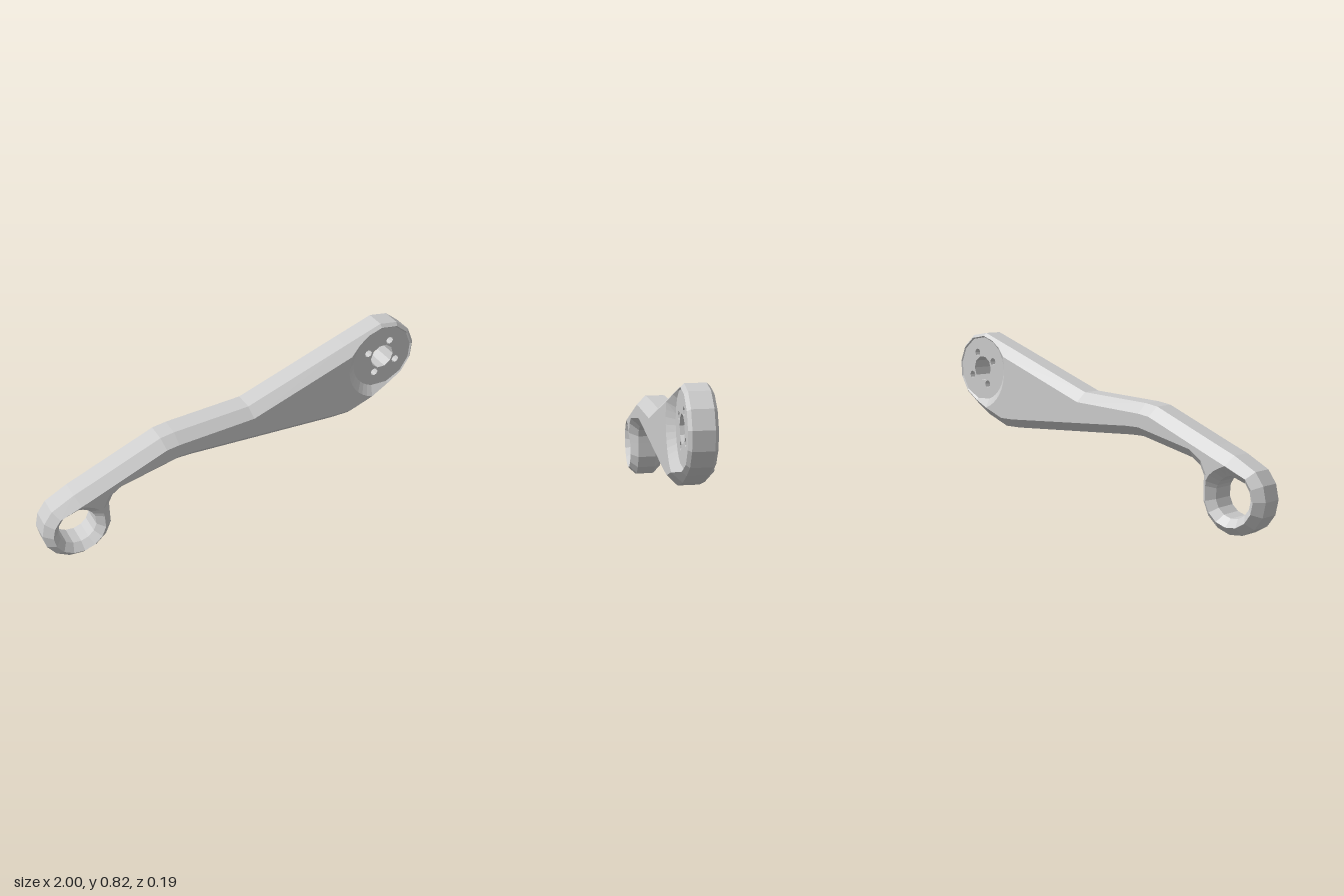
import * as THREE from 'three';

const EDGE = 0.047;            // half height of the outer edge band
const FACE = 0.093;            // half thickness of the arm
const HUB = new THREE.Vector2(0.813, 0.63);
const EYE = new THREE.Vector2(-0.83, 0.17);
const PLATE = { r: 0.165, z: 0.057 };  // hub plate at the bottom of the recess
const BORE = { r: 0.095, z: 0.051 };   // eye bore below its countersink

const polar = (c, r, a) => new THREE.Vector2(c.x + r * Math.cos(a), c.y + r * Math.sin(a));
const deg = THREE.MathUtils.degToRad;
const at = (p, z) => new THREE.Vector3(p.x, p.y, z);

// Clockwise outline of the whole arm, starting above the eye
function outline() {
  const v = ([x, y]) => new THREE.Vector2(x, y);
  const top = [[-0.832, 0.354], [-0.74, 0.39], [-0.39, 0.53], [-0.32, 0.54], [0.07, 0.56],
    [0.597, 0.747], [0.66, 0.769], [0.72, 0.79]].map(v);
  const end = [96, 66, 37, 10, -17, -45].map(a => polar(HUB, 0.187, deg(a)));
  const bottom = [[0.865, 0.443], [0.77, 0.388], [0.64, 0.34], [0.545, 0.34], [-0.24, 0.385],
    [-0.31, 0.385], [-0.6, 0.32], [-0.645, 0.29], [-0.665, 0.25], [-0.665, 0.233], [-0.665, 0.21]].map(v);
  const eye = Array.from({ length: 10 }, (_, i) => polar(EYE, 0.17, deg(-12 - 24 * i)));
  return [...top, ...end, ...bottom, ...eye];
}
// Outline points where the flat face meets the hub recess and the eye
const HUB_TOP = 5, HUB_BOTTOM = 15, EYE_SIDE = 23;

// Height of the conical cuts of the hub recess and the eye countersink
const cutHeight = p => Math.min(
  PLATE.z + 0.8 * (p.distanceTo(HUB) - PLATE.r),
  BORE.z + (p.distanceTo(EYE) - BORE.r));

// Inner edge of the 45 degree chamfer, shortened where a conical cut meets it
function chamferEdge(points) {
  const n = points.length;
  return points.map((p, i) => {
    const d1 = p.clone().sub(points[(i + n - 1) % n]).normalize();
    const d2 = points[(i + 1) % n].clone().sub(p).normalize();
    const miter = new THREE.Vector2(d1.y + d2.y, -d1.x - d2.x).divideScalar(1 + d1.dot(d2));
    const inset = t => p.clone().addScaledVector(miter, t);
    let lo = 0, hi = FACE - EDGE;
    if (EDGE + hi > cutHeight(inset(hi))) {
      for (let k = 0; k < 30; k++) {
        const t = (lo + hi) / 2;
        if (EDGE + t > cutHeight(inset(t))) hi = t; else lo = t;
      }
    }
    return at(inset(hi), EDGE + hi);
  });
}

// Points of a clockwise arc between two rim points, without its ends
function arcBetween(c, r, from, to, n) {
  const a0 = Math.atan2(from.y - c.y, from.x - c.x);
  let a1 = Math.atan2(to.y - c.y, to.x - c.x);
  if (a1 > a0) a1 -= 2 * Math.PI;
  return Array.from({ length: n - 1 }, (_, i) => at(polar(c, r, a0 + (a1 - a0) * (i + 1) / n), FACE));
}

// Circle with one point at the angle of each rim point
const circleUnder = (rim, c, r, z) =>
  rim.map(p => at(polar(c, r, Math.atan2(p.y - c.y, p.x - c.x)), z));

const mirrorZ = loop => loop.map(p => new THREE.Vector3(p.x, p.y, -p.z));

// Closed band of quads between two clockwise loops
function band(outer, inner) {
  const pos = [];
  outer.forEach((p, i) => {
    const j = (i + 1) % outer.length;
    for (const q of [p, inner[i], outer[j], outer[j], inner[i], inner[j]]) pos.push(q.x, q.y, q.z);
  });
  const g = new THREE.BufferGeometry();
  g.setAttribute('position', new THREE.Float32BufferAttribute(pos, 3));
  g.computeVertexNormals();
  return g;
}

// Plate centred on z = 0
function plate(points, halfDepth, holes = []) {
  const shape = new THREE.Shape(points.map(p => new THREE.Vector2(p.x, p.y)));
  shape.holes = holes.map(h => new THREE.Path(h));
  return new THREE.ExtrudeGeometry(shape, { depth: 2 * halfDepth, bevelEnabled: false })
    .translate(0, 0, -halfDepth);
}

export function createModel() {
  const group = new THREE.Group();
  const material = new THREE.MeshStandardMaterial({ color: 0xcccccc, flatShading: true });
  const add = (name, geometry) => {
    const mesh = new THREE.Mesh(geometry, material);
    mesh.name = name;
    group.add(mesh);
  };
  // Front band and its mirror image at the back
  const addBoth = (name, outer, inner) => {
    add(name + 'Front', band(outer, inner));
    add(name + 'Back', band(mirrorZ(inner), mirrorZ(outer)));
  };

  const points = outline();
  const edge = points.map(p => at(p, EDGE));
  const inner = chamferEdge(points);

  // Outer edge and chamfers
  add('edgeBand', band(mirrorZ(edge), edge));
  addBoth('chamfer', edge, inner);

  // Flat faces of the arm, bounded by the two conical cuts
  const hubArc = arcBetween(HUB, 0.21, inner[HUB_BOTTOM], inner[HUB_TOP], 10);
  const eyeArc = arcBetween(EYE, 0.137, inner[0], inner[EYE_SIDE], 4);
  add('armFaces', plate([
    ...inner.slice(0, HUB_TOP + 1), ...[...hubArc].reverse(),
    ...inner.slice(HUB_BOTTOM, EYE_SIDE + 1), ...[...eyeArc].reverse()], FACE));

  // Hub recess and its drilled plate
  const hubRim = [...inner.slice(HUB_TOP, HUB_BOTTOM + 1), ...hubArc];
  const plateRim = circleUnder(hubRim, HUB, PLATE.r, PLATE.z);
  addBoth('hubRecess', hubRim, plateRim);
  const ring = (c, r, n) => Array.from({ length: n }, (_, i) => polar(c, r, 2 * Math.PI * i / n));
  const boltHoles = [65, 155, 245, 335].map(a => ring(polar(HUB, 0.09, deg(a)), 0.02, 8));
  add('hubPlate', plate(plateRim, PLATE.z, [ring(HUB, 0.064, 10), ...boltHoles]));

  // Eye countersink and bore
  const eyeRim = [...inner.slice(EYE_SIDE), inner[0], ...eyeArc];
  const bore = circleUnder(eyeRim, EYE, BORE.r, BORE.z);
  addBoth('eyeCountersink', eyeRim, bore);
  add('eyeBore', band(bore, mirrorZ(bore)));

  return group;
}
